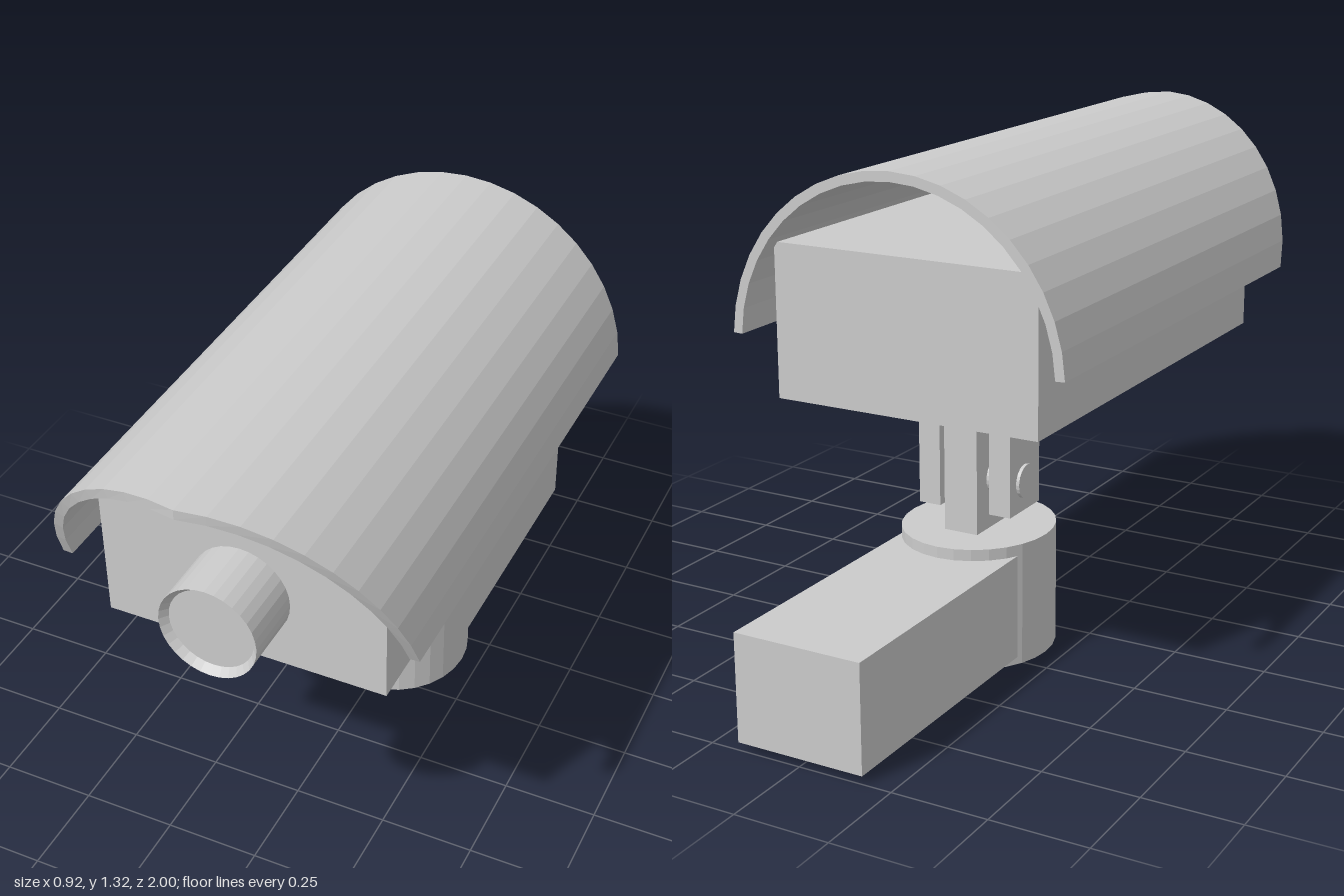
import * as THREE from 'three';

const grey = new THREE.MeshStandardMaterial({ color: 0xcccccc, flatShading: true });

export function createModel() {
  const group = new THREE.Group();

  function add(name, geometry, x = 0, y = 0, z = 0) {
    const mesh = new THREE.Mesh(geometry, grey);
    mesh.name = name;
    mesh.position.set(x, y, z);
    group.add(mesh);
    return mesh;
  }

  // Box given by its limits on each axis
  function box(name, x0, x1, y0, y1, z0, z1) {
    return add(name, new THREE.BoxGeometry(x1 - x0, y1 - y0, z1 - z0),
      (x0 + x1) / 2, (y0 + y1) / 2, (z0 + z1) / 2);
  }

  // Wall arm and round post
  const pivotZ = -0.16;
  box('wallArm', -0.173, 0.173, 0.02, 0.3, -1, -0.2);
  add('post', new THREE.CylinderGeometry(0.2, 0.2, 0.33, 28), 0, 0.165, pivotZ).scale.z = 1.075;

  // Hinge: tongue between two arms, held by a bolt
  box('hingeTongue', -0.048, 0.048, 0.32, 0.62, -0.255, -0.057);
  for (const side of [-1, 1]) {
    const arm = box('hingeArm', -0.031, 0.031, 0.385, 0.685, -0.236, -0.079);
    arm.position.x = side * 0.104;
  }
  add('hingeBolt', new THREE.CylinderGeometry(0.045, 0.045, 0.288, 24), 0, 0.465, pivotZ).rotation.z = Math.PI / 2;
  box('mountPlate', -0.157, 0.157, 0.68, 0.712, -0.43, 0.104);

  // Camera housing
  box('housing', -0.367, 0.367, 0.71, 1.11, -0.523, 0.738);

  // Lens barrel with a shallow recessed glass
  const barrel = [[0, 0], [0.125, 0], [0.125, 0.19], [0.109, 0.17], [0, 0.17]];
  add('lensBarrel', new THREE.LatheGeometry(barrel.map(p => new THREE.Vector2(...p)), 32),
    0, 0.897, 0.713).rotation.x = Math.PI / 2;

  // Arched sun hood
  add('sunHood', hoodGeometry(), 0, 0.86, 0);
  return group;
}

// Half-round shell whose front edge sweeps back from a point at the top
function hoodGeometry() {
  const segments = 20, limit = 87.5, outer = 0.462, inner = 0.437, back = -0.573;
  const sections = [];
  for (let i = 0; i <= segments; i++) {
    const degrees = -limit + (2 * limit * i) / segments;
    const t = Math.abs(degrees);
    const front = 1 - 0.00168 * t - 0.000011 * t * t;
    const a = THREE.MathUtils.degToRad(degrees);
    const at = (r, z) => [Math.sin(a) * r, Math.cos(a) * r, z];
    sections.push([at(outer, front), at(outer, back), at(inner, back), at(inner, front)]);
  }
  const positions = [];
  const quad = (a, b, c, d) => positions.push(...a, ...b, ...c, ...a, ...c, ...d);
  for (let i = 0; i < segments; i++) {
    const p = sections[i], q = sections[i + 1];
    for (let k = 0; k < 4; k++) quad(p[k], q[k], q[(k + 1) % 4], p[(k + 1) % 4]);
  }
  quad(...sections[0]);
  quad(...sections[segments].slice().reverse());
  const geometry = new THREE.BufferGeometry();
  geometry.setAttribute('position', new THREE.Float32BufferAttribute(positions, 3));
  geometry.computeVertexNormals();
  return geometry;
}
